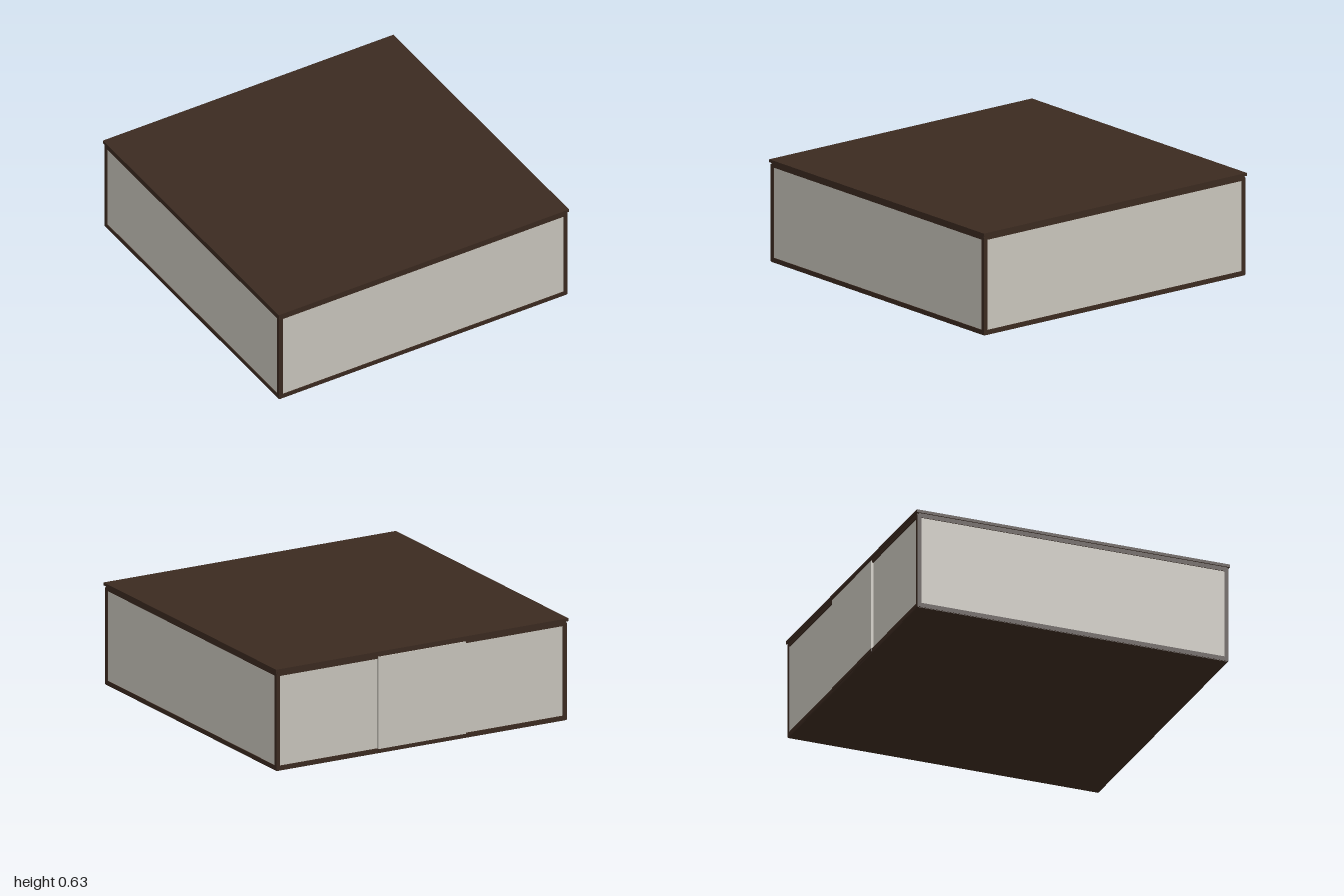
import * as THREE from 'three';

export function createModel() {
  const model = new THREE.Group();
  const wood = new THREE.MeshStandardMaterial({ color: 0x3b2a20 });
  wood.name = 'dark wood';
  const paper = new THREE.MeshStandardMaterial({ color: 0xcbc7be });
  paper.name = 'pale panel';

  // Box given by its minimum and maximum corners
  function block(parent, name, material, min, max) {
    const size = max.map((v, i) => v - min[i]);
    const mesh = new THREE.Mesh(new THREE.BoxGeometry(...size), material);
    mesh.position.set(...max.map((v, i) => (v + min[i]) / 2));
    mesh.name = name;
    parent.add(mesh);
    return mesh;
  }

  // Floor and roof slabs
  block(model, 'floor', wood, [-0.99, 0, -0.99], [0.99, 0.012, 0.99]);
  block(model, 'roof', wood, [-1, 0.612, -1], [1, 0.63, 1]);

  // Ceiling joists carrying the roof, in both directions
  for (let i = -3; i <= 3; i++) {
    const p = i * 0.327;
    block(model, 'joist', wood, [p - 0.012, 0.6, -0.985], [p + 0.012, 0.612, 0.985]);
    block(model, 'crossJoist', wood, [-0.985, 0.601, p - 0.012], [0.985, 0.611, p + 0.012]);
  }
  block(model, 'ceiling', wood, [-0.96, 0.59, -0.96], [0.96, 0.604, 0.96]);

  // Corner posts
  for (const x of [-1, 1]) {
    for (const z of [-1, 1]) {
      const post = block(model, 'cornerPost', wood, [-0.0125, 0.005, -0.0125], [0.0125, 0.6, 0.0125]);
      post.position.x = x * 0.981;
      post.position.z = z * 0.981;
    }
  }

  // One wall facing +z: sill, head rail and, where wanted, one wide panel
  function wall(name, angle, plain) {
    const group = new THREE.Group();
    group.name = name;
    block(group, 'sill', wood, [-0.99, 0.003, 0.965], [0.99, 0.03, 0.993]);
    block(group, 'headRail', wood, [-0.99, 0.585, 0.965], [0.99, 0.603, 0.993]);
    if (plain) block(group, 'panel', paper, [-0.975, 0.03, 0.968], [0.975, 0.585, 0.988]);
    group.rotation.y = angle;
    model.add(group);
    return group;
  }
  wall('frontWall', 0, true);
  wall('leftWall', Math.PI / 2, true);
  wall('rightWall', -Math.PI / 2, true);

  // Back wall: two fixed panels with a sliding door standing proud between them
  const back = wall('backWall', Math.PI, false);
  for (const s of [-1, 1]) {
    const side = block(back, 'fixedPanel', paper, [-0.345, 0.028, 0.964], [0.345, 0.59, 0.986]);
    side.position.x = s * 0.63;
  }
  block(back, 'slidingDoor', paper, [-0.3, 0.028, 0.975], [0.3, 0.597, 0.999]);
  block(back, 'doorTrack', wood, [-0.3, 0.008, 0.975], [0.3, 0.028, 0.999]);
  return model;
}
